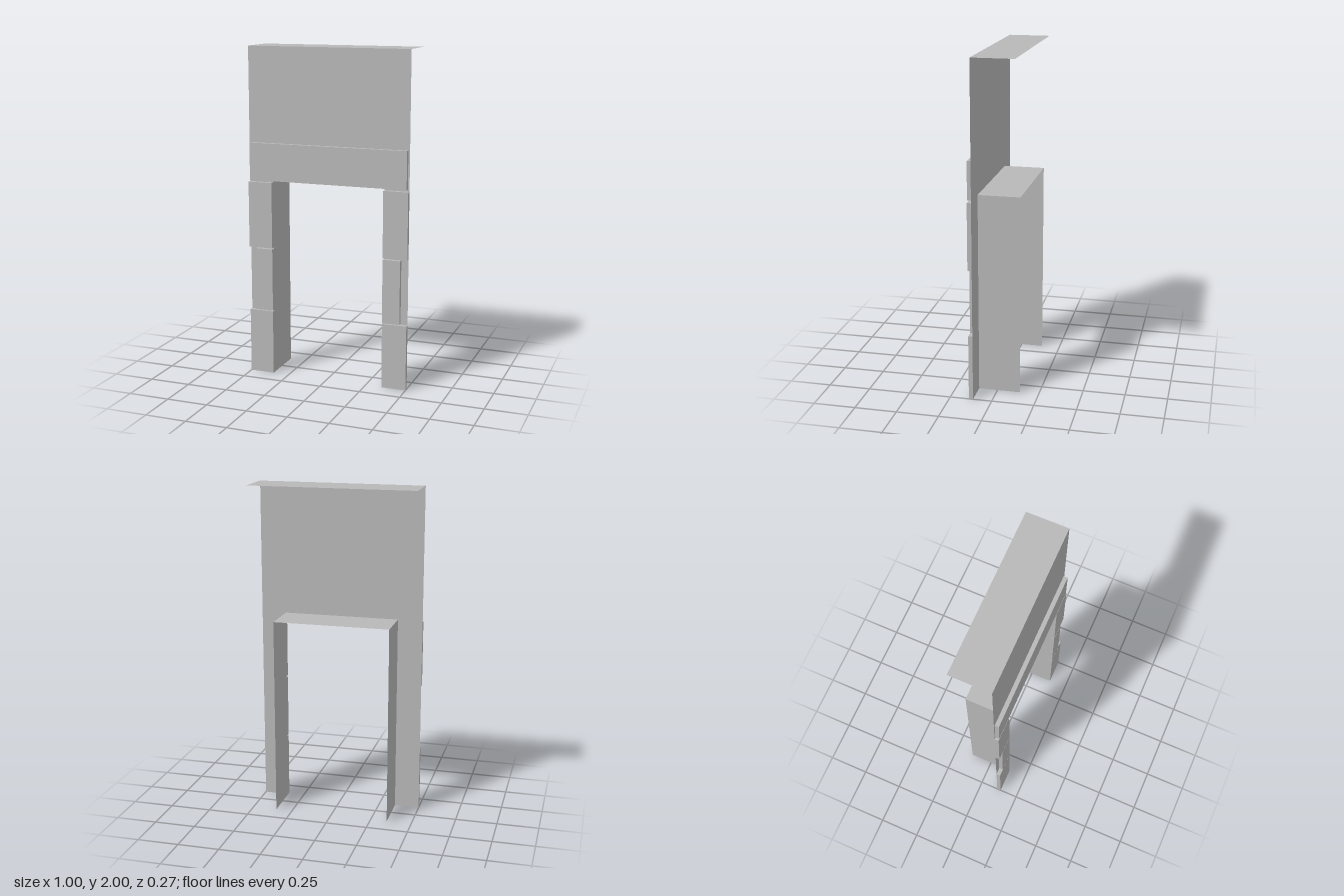
import * as THREE from 'three';

const BACK = -0.137, WALL = 0.112, FRONT = 0.137;

export function createModel() {
  const model = new THREE.Group();
  model.name = 'doorSurround';
  const stone = new THREE.MeshStandardMaterial({ color: 0xb8b8b8, side: THREE.DoubleSide });
  stone.name = 'grey stone';

  const add = (name, geometry) => {
    const mesh = new THREE.Mesh(geometry, stone);
    mesh.name = name;
    model.add(mesh);
    return mesh;
  };

  // Raised block on the wall, open at the back and optionally underneath
  const block = (name, x0, x1, y0, y1, openBottom = false) => {
    const g = new THREE.BoxGeometry(x1 - x0, y1 - y0, FRONT - WALL);
    const faces = openBottom ? [0, 1, 2, 4] : [0, 1, 2, 3, 4];
    const old = g.index.array;
    g.setIndex(faces.flatMap((f) => Array.from(old.slice(f * 6, f * 6 + 6))));
    g.clearGroups();
    g.translate((x0 + x1) / 2, (y0 + y1) / 2, (WALL + FRONT) / 2);
    add(name, g);
  };

  // Thin front wall around the doorway
  const outline = [[-0.5, 0], [-0.35, 0], [-0.35, 1.2], [0.35, 1.2], [0.35, 0], [0.5, 0], [0.5, 2], [-0.5, 2]];
  const wall = new THREE.Shape(outline.map(([x, y]) => new THREE.Vector2(x, y)));
  add('frontWall', new THREE.ShapeGeometry(wall).translate(0, 0, WALL));

  // Horizontal sheets: top cover and doorway ceiling
  const depth = WALL - BACK, midZ = (WALL + BACK) / 2;
  const sheet = (name, width, y, turn) =>
    add(name, new THREE.PlaneGeometry(width, depth).rotateX(turn).translate(0, y, midZ));
  sheet('topCover', 1, 2, -Math.PI / 2);
  sheet('doorwayCeiling', 0.7, 1.2, Math.PI / 2);

  // Lintel
  block('lintel', -0.49, 0.49, 1.205, 1.43);

  // Doorway sides and stacked jamb blocks, mirrored
  for (const [side, s] of [['left', 1], ['right', -1]]) {
    add(side + 'DoorwaySide',
      new THREE.PlaneGeometry(depth, 1.2).rotateY(-s * Math.PI / 2).translate(s * 0.35, 0.6, midZ));
    const rows = [['Lower', 0, 0.395, 0.5], ['Middle', 0.4, 0.785, 0.457], ['Upper', 0.793, 1.193, 0.5]];
    for (const [row, y0, y1, outer] of rows) {
      const [x0, x1] = [s * 0.35, s * outer].sort((a, b) => a - b);
      block(side + row + 'JambBlock', x0, x1, y0, y1, row === 'Lower');
    }
  }
  return model;
}
